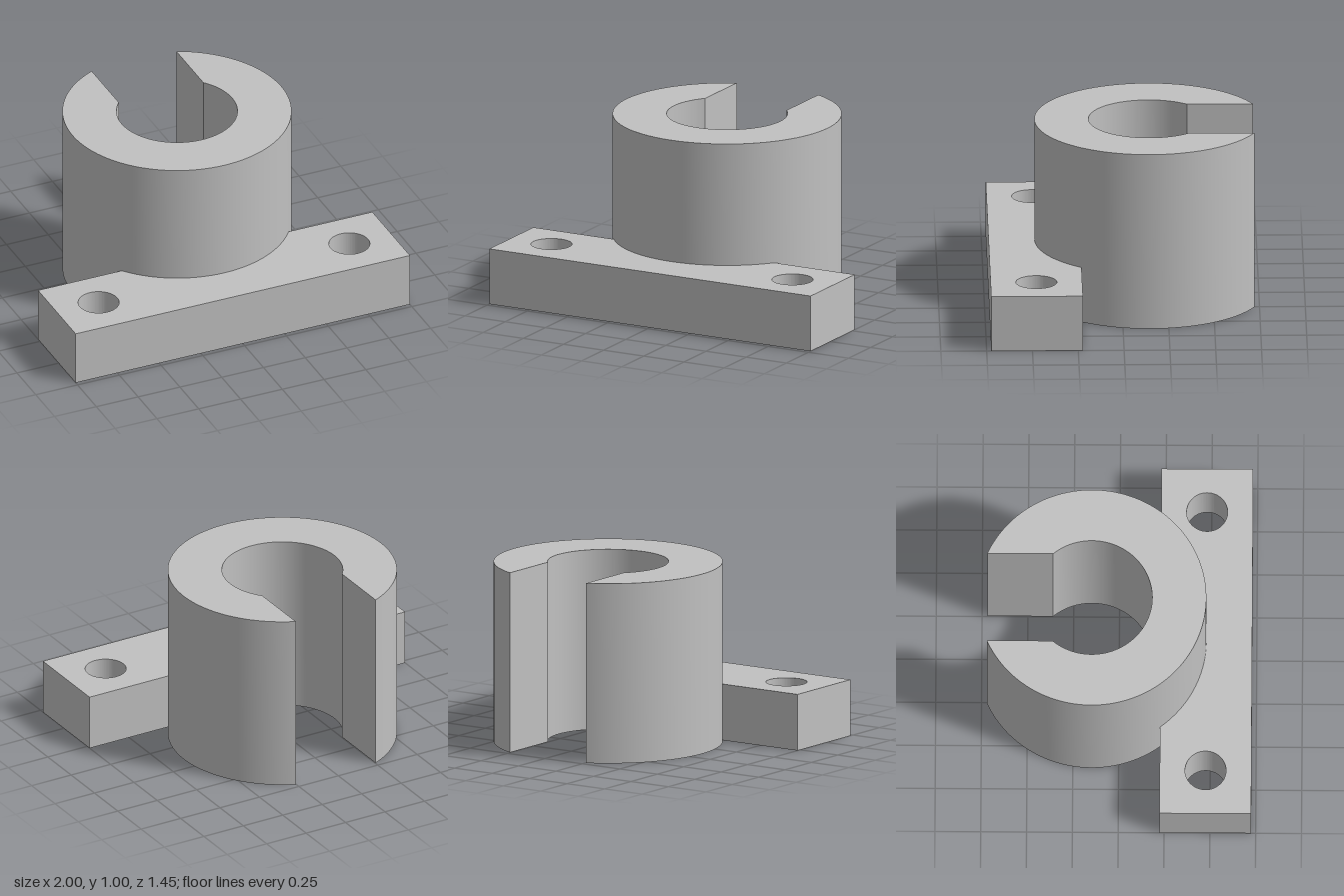
import * as THREE from 'three';
import { toCreasedNormals } from 'three/addons/utils/BufferGeometryUtils.js';

const COLLAR_Z = -0.15, OUTER_R = 0.625, BORE_R = 0.33, SLOT_HALF = 0.253;
const COLLAR_HEIGHT = 1, PLATE_HEIGHT = 0.3125;
const PLATE_BACK = 0.225, PLATE_FRONT = 0.725;
const HOLE_X = 0.75, HOLE_Z = 0.475, HOLE_R = 0.112;

// Extrude a plan outline (drawn with y = -z) upward from the ground
function extrudeUp(name, shape, height, material) {
  const geometry = new THREE.ExtrudeGeometry(shape, { depth: height, bevelEnabled: false, curveSegments: 80 });
  geometry.rotateX(-Math.PI / 2);
  const mesh = new THREE.Mesh(toCreasedNormals(geometry, Math.PI / 6), material);
  mesh.name = name;
  return mesh;
}

export function createModel() {
  const group = new THREE.Group();
  group.name = 'slottedCollarBracket';
  const metal = new THREE.MeshStandardMaterial({ color: 0xc0c0c0 });
  metal.name = 'light grey';

  // Thick C-shaped collar with a straight slot open to the back
  const outer = Math.acos(SLOT_HALF / OUTER_R);
  const inner = Math.acos(SLOT_HALF / BORE_R);
  const ring = new THREE.Shape();
  ring.absarc(0, -COLLAR_Z, OUTER_R, outer, Math.PI - outer, true);
  ring.absarc(0, -COLLAR_Z, BORE_R, Math.PI - inner, inner, false);
  ring.closePath();
  group.add(extrudeUp('slottedCollar', ring, COLLAR_HEIGHT, metal));

  // Mounting plate, its back edge scooped out to fit around the collar
  const meet = Math.asin((PLATE_BACK - COLLAR_Z) / OUTER_R);
  const outline = new THREE.Shape();
  outline.moveTo(-1, -PLATE_FRONT);
  outline.lineTo(1, -PLATE_FRONT);
  outline.lineTo(1, -PLATE_BACK);
  outline.absarc(0, -COLLAR_Z, OUTER_R, -meet, Math.PI + meet, true);
  outline.lineTo(-1, -PLATE_BACK);
  outline.closePath();

  // Bolt holes through both ends of the plate
  for (const side of [-1, 1]) {
    const hole = new THREE.Path();
    hole.absarc(side * HOLE_X, -HOLE_Z, HOLE_R, 0, Math.PI * 2, true);
    outline.holes.push(hole);
  }
  group.add(extrudeUp('mountingPlate', outline, PLATE_HEIGHT, metal));

  return group;
}
